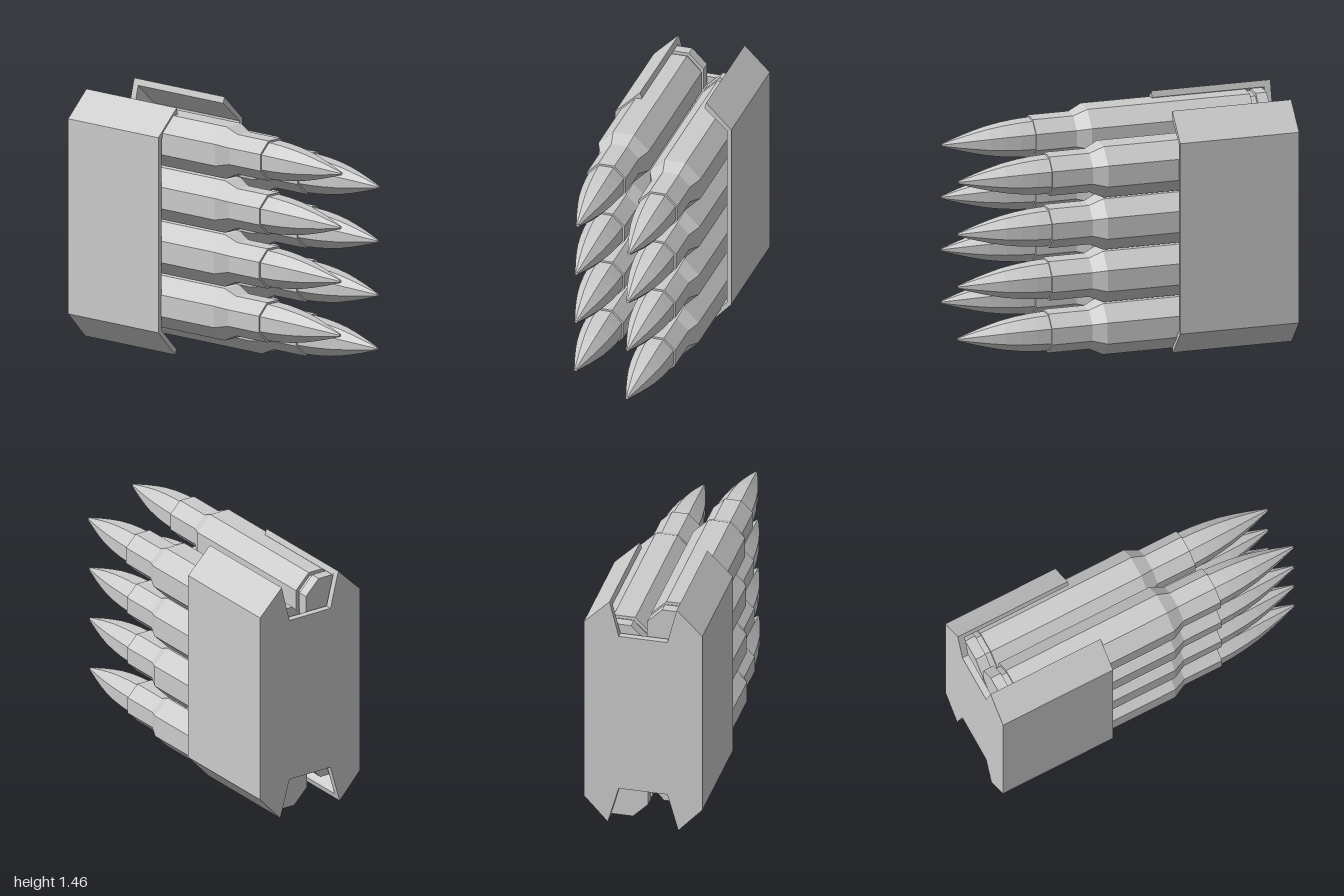
import * as THREE from 'three';

const material = new THREE.MeshStandardMaterial({ color: 0xcccccc, flatShading: true });

// Octagonal round, profile as [distance from axis to flat, z]
function roundGeometry() {
  const profile = [
    [0, -0.945], [0.154, -0.945], [0.154, -0.88], [0.135, -0.88], [0.135, -0.845], [0.154, -0.845],
    [0.154, 0.14], [0.118, 0.22], [0.118, 0.465], [0.107, 0.465],
    [0.103, 0.55], [0.094, 0.64], [0.08, 0.73], [0.062, 0.81], [0.041, 0.89], [0.022, 0.955], [0.009, 1], [0, 1],
  ];
  const toCorner = 1 / Math.cos(Math.PI / 8);
  const points = profile.map(([r, z]) => new THREE.Vector2(r * toCorner, z));
  return new THREE.LatheGeometry(points, 8, Math.PI / 8).rotateX(Math.PI / 2);
}

// Extrude an x-y outline between two z positions
function slab(name, outline, z0, z1) {
  const shape = new THREE.Shape(outline.map(([x, y]) => new THREE.Vector2(x, y)));
  const geometry = new THREE.ExtrudeGeometry(shape, { depth: z1 - z0, bevelEnabled: false });
  const mesh = new THREE.Mesh(geometry.translate(0, 0, z0), material);
  mesh.name = name;
  return mesh;
}

export function createModel() {
  const model = new THREE.Group();
  model.name = 'loadedClip';

  // Two staggered columns of four rounds
  const geometry = roundGeometry();
  const rounds = new THREE.Group();
  rounds.name = 'rounds';
  const columns = [
    { name: 'rightRound', y: 0.311, x: [-0.176, -0.173, -0.171, -0.164] },
    { name: 'leftRound', y: 0.18, x: [0.137, 0.14, 0.142, 0.149] },
  ];
  for (const { name, y, x } of columns) {
    x.forEach((cx, i) => {
      const round = new THREE.Mesh(geometry, material);
      round.name = name + (i + 1);
      round.position.set(cx, y + i * 0.3185, 0);
      rounds.add(round);
    });
  }
  model.add(rounds);

  // Folded sheet clip: notched back plate and two side walls with inturned lips
  const clip = new THREE.Group();
  clip.name = 'clip';
  const outer = [[0.21, 0], [0.353, 0.155], [0.353, 1.31], [0.2, 1.462]];
  const inner = [[0.19, 1.425], [0.328, 1.298], [0.328, 0.167], [0.201, 0.033]];
  const halfPlate = [[0.145, 0.23], ...outer, [0.145, 1.24]];
  const mirror = (pts) => pts.map(([x, y]) => [-x, y]).reverse();
  clip.add(slab('backPlate', [...halfPlate, ...mirror(halfPlate)], -1, -0.96));
  const wall = [...outer, ...inner];
  clip.add(slab('leftWall', wall, -0.96, -0.28));
  clip.add(slab('rightWall', mirror(wall), -0.96, -0.28));
  model.add(clip);

  return model;
}
